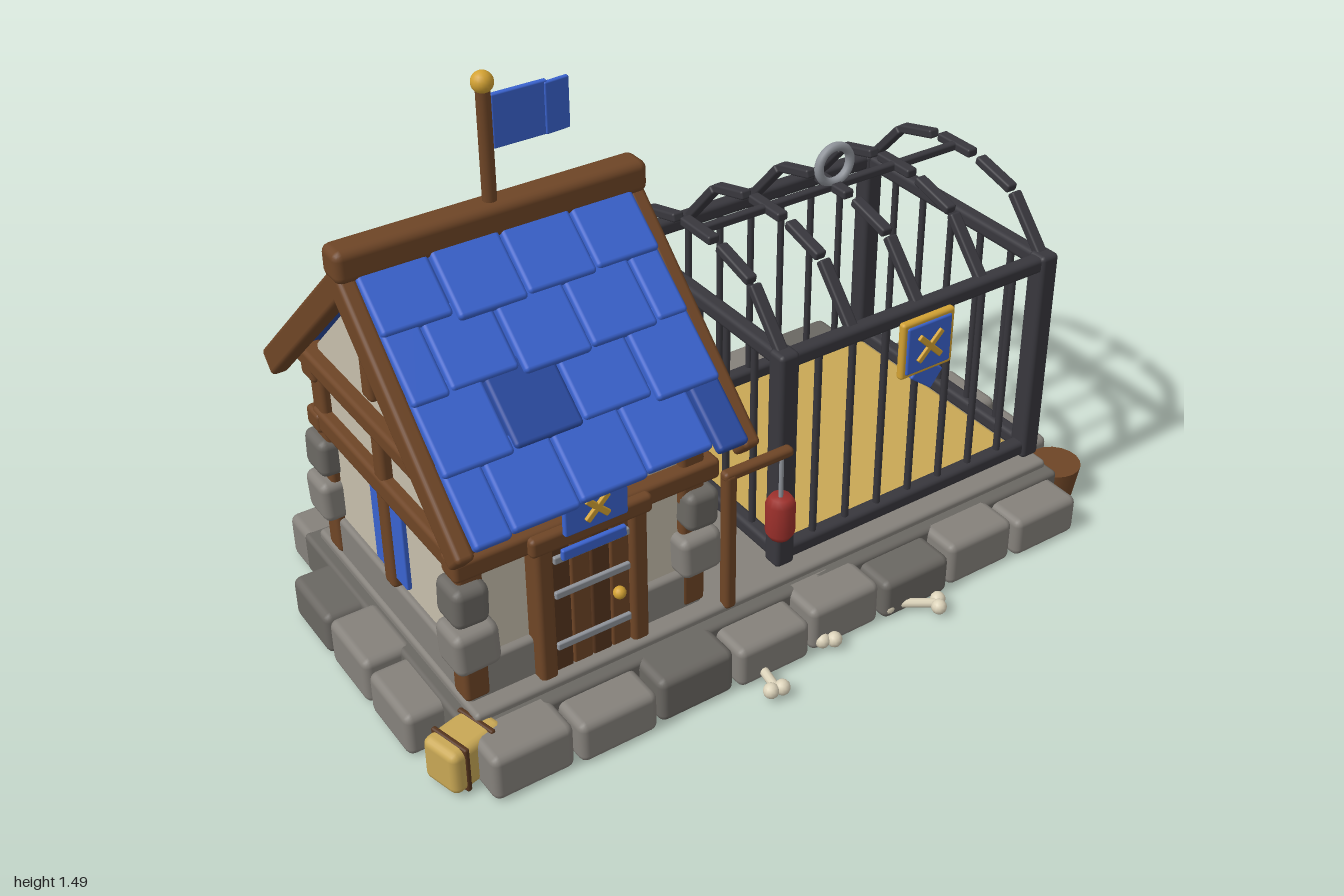
import * as THREE from 'three';
import { RoundedBoxGeometry } from 'three/addons/geometries/RoundedBoxGeometry.js';

const C = {
  wood: 0x6e4526, darkWood: 0x56351e, stone: 0x85817b, darkStone: 0x6a6762, plaster: 0xc6beac, iron: 0x38373d,
  steel: 0x8f939a, blue: 0x3a63cf, darkBlue: 0x2a4aa0, gold: 0xd3a233, hay: 0xc9a855, red: 0x9c302b, bone: 0xdcd3ba,
};
const mats = {};
const mat = (c) => (mats[c] ??= new THREE.MeshStandardMaterial({ color: C[c], side: THREE.DoubleSide }));
const MID = -0.045; // z of the ridge and of the cage centre line

function add(parent, name, geo, color, pos = [0, 0, 0], rot = [0, 0, 0]) {
  const m = new THREE.Mesh(geo, mat(color));
  m.name = name;
  m.position.set(...pos);
  m.rotation.set(...rot);
  parent.add(m);
  return m;
}
function box(parent, name, color, size, pos, rot, r = 0.012) {
  const radius = Math.min(r, Math.min(...size) * 0.4);
  return add(parent, name, new RoundedBoxGeometry(...size, 2, radius), color, pos, rot);
}
// Box given by its two opposite corners
function span(parent, name, color, a, b, r) {
  return box(parent, name, color, a.map((v, i) => b[i] - v), a.map((v, i) => (v + b[i]) / 2), undefined, r);
}
function rod(parent, name, color, a, b, r, sides = 10) {
  const p = new THREE.Vector3(...a), q = new THREE.Vector3(...b), d = q.clone().sub(p);
  const m = add(parent, name, new THREE.CylinderGeometry(r, r, d.length(), sides), color);
  m.position.copy(p).lerp(q, 0.5);
  m.quaternion.setFromUnitVectors(new THREE.Vector3(0, 1, 0), d.normalize());
  return m;
}
function group(parent, name) {
  const g = new THREE.Group();
  g.name = name;
  parent.add(g);
  return g;
}
// Two crossed gold bars
function cross(parent, x, y, z, len) {
  for (const s of [-1, 1]) box(parent, 'goldCross', 'gold', [len, 0.016, 0.01], [x, y, z], [0, 0, s * Math.PI / 4], 0.003);
}

function buildBase(root) {
  const g = group(root, 'stoneBase');
  span(g, 'slab', 'darkStone', [-0.9, 0.01, -0.5], [0.88, 0.125, 0.4]);
  span(g, 'platform', 'stone', [-0.87, 0.1, -0.47], [0.87, 0.145, 0.365]);
  for (let i = 0; i < 8; i++) {
    const x = -0.795 + i * 0.221, h = 0.125 + 0.012 * ((i * 3) % 3 - (i % 2));
    box(g, 'frontStone', i % 3 === 2 ? 'darkStone' : 'stone', [0.21, h, 0.14], [x, h / 2, 0.425 + 0.008 * (i % 2)], [0, 0, 0], 0.02);
    box(g, 'backStone', i % 3 === 1 ? 'darkStone' : 'stone', [0.205, h, 0.125], [x, h / 2, -0.535 - 0.008 * (i % 2)], [0, 0, 0], 0.02);
  }
  for (const s of [-1, 1]) for (let i = 0; i < 3; i++) {
    const h = 0.118 + 0.01 * (i % 2);
    box(g, 'sideStone', i === 0 ? 'darkStone' : 'stone', [0.13, h, 0.2], [s < 0 ? -0.93 : 0.915, h / 2, -0.265 + i * 0.212], [0, 0, 0], 0.02);
  }
}

function buildHouse(root) {
  const g = group(root, 'house');
  // Plastered walls with gables, extruded along x
  const s = new THREE.Shape([[0.295, 0.14], [0.295, 0.74], [MID, 1.07], [-0.385, 0.74], [-0.385, 0.14]].map((p) => new THREE.Vector2(...p)));
  const walls = new THREE.ExtrudeGeometry(s, { depth: 0.61, bevelEnabled: false });
  walls.rotateY(-Math.PI / 2);
  add(g, 'walls', walls, 'plaster', [-0.235, 0, 0]);
  span(g, 'plinth', 'stone', [-0.86, 0.13, -0.405], [-0.22, 0.25, 0.315]);

  // Corner posts, quoins and timber framing
  for (const x of [-0.835, -0.245]) for (const z of [0.285, -0.375]) {
    box(g, 'cornerPost', 'wood', [0.065, 0.55, 0.065], [x, 0.42, z]);
    const ox = x < -0.5 ? -0.012 : 0.012, oz = z > 0 ? 0.012 : -0.012;
    box(g, 'quoin', 'stone', [0.115, 0.115, 0.11], [x + ox / 2, 0.31, z + oz], [0, 0, 0.04], 0.022);
    box(g, 'quoin', 'darkStone', [0.09, 0.105, 0.105], [x + ox, 0.435, z + oz], [0, 0, -0.03], 0.022);
  }
  for (const z of [0.3, -0.39]) {
    span(g, 'wallBeam', 'wood', [-0.88, 0.505, z - 0.035], [-0.18, 0.56, z + 0.035]);
    span(g, 'eavesBeam', 'wood', [-0.88, 0.65, z - 0.035], [-0.18, 0.71, z + 0.035]);
  }
  for (const x of [-0.85, -0.23]) {
    span(g, 'sideBeam', 'wood', [x - 0.025, 0.51, -0.4], [x + 0.025, 0.568, 0.31]);
    span(g, 'tieBeam', 'wood', [x - 0.03, 0.675, -0.45], [x + 0.03, 0.725, 0.36]);
    span(g, 'sidePost', 'wood', [x - 0.022, 0.25, MID - 0.025], [x + 0.022, 0.69, MID + 0.025]);
    span(g, 'kingPost', 'wood', [x - 0.03, 0.78, MID - 0.025], [x + 0.03, 1.1, MID + 0.025]);
  }
  span(g, 'sideBanner', 'blue', [-0.862, 0.28, MID - 0.08], [-0.848, 0.51, MID + 0.08], 0.004);

  // Door
  const d = group(g, 'door');
  for (let i = 0; i < 4; i++) span(d, 'doorPlank', i % 2 ? 'wood' : 'darkWood', [-0.645 + i * 0.0525, 0.14, 0.3], [-0.594 + i * 0.0525, 0.5, 0.335], 0.006);
  for (const x of [-0.665, -0.415]) box(d, 'doorJamb', 'wood', [0.045, 0.4, 0.07], [x, 0.33, 0.315]);
  box(d, 'lintel', 'wood', [0.32, 0.05, 0.08], [-0.54, 0.53, 0.315]);
  for (const y of [0.22, 0.37, 0.47]) box(d, 'doorStrap', 'steel', [0.2, 0.02, 0.012], [-0.54, y, 0.34], undefined, 0.004);
  add(d, 'doorKnob', new THREE.SphereGeometry(0.016, 14, 10), 'gold', [-0.475, 0.31, 0.35]);

  // Banner over the door
  const b = group(g, 'doorBanner');
  box(b, 'bannerCloth', 'blue', [0.165, 0.11, 0.016], [-0.54, 0.6, 0.362], undefined, 0.005);
  box(b, 'bannerHem', 'blue', [0.17, 0.03, 0.014], [-0.54, 0.487, 0.352], undefined, 0.005);
  cross(b, -0.54, 0.6, 0.374, 0.08);
}

function buildRoof(root) {
  const g = group(root, 'roof'), cx = -0.54, slope = 0.755;
  for (const side of [0, 1]) {
    const turn = group(g, side ? 'backRoof' : 'frontRoof');
    turn.position.set(cx, 1.125, MID);
    turn.rotation.y = side * Math.PI;
    const half = group(turn, 'roofSlope');
    half.rotation.x = slope;
    box(half, 'roofBoard', 'darkBlue', [0.68, 0.02, 0.62], [0, -0.022, 0.32]);
    // Barge boards at both gable ends
    for (const x of [-0.365, 0.365]) box(half, 'bargeBoard', 'wood', [0.045, 0.07, 0.69], [x, -0.025, 0.335]);
    // Staggered tile rows, half tiles closing the odd rows
    for (let r = 0; r < 4; r++) {
      const cuts = r % 2 ? [-0.35, -0.255, -0.085, 0.09, 0.265, 0.35] : [-0.35, -0.175, 0, 0.18, 0.35];
      for (let i = 0; i < cuts.length - 1; i++) {
        const k = (i * 7 + r * 5 + side * 3) % 4, len = 0.19 + 0.006 * k;
        box(half, 'roofTile', (i * 5 + r * 3 + side) % 9 === 2 ? 'darkBlue' : 'blue', [cuts[i + 1] - cuts[i] - 0.005, 0.03, len],
          [(cuts[i] + cuts[i + 1]) / 2, 0.008 + 0.002 * k, r * 0.158 + len / 2 - 0.012], [-0.075, 0, 0], 0.01);
      }
    }
  }
  box(g, 'ridgeBeam', 'wood', [0.785, 0.08, 0.08], [cx, 1.142, MID], undefined, 0.02);
  // Flagpole
  rod(g, 'flagPole', 'wood', [cx, 1.15, MID], [cx, 1.45, MID], 0.017);
  add(g, 'poleBall', new THREE.SphereGeometry(0.026, 18, 12), 'gold', [cx, 1.465, MID]);
  box(g, 'flag', 'blue', [0.14, 0.13, 0.014], [-0.455, 1.368, MID], undefined, 0.004);
  box(g, 'flagEnd', 'blue', [0.065, 0.126, 0.012], [-0.362, 1.366, MID + 0.002], [0, 0.08, 0], 0.004);
}

function buildCage(root) {
  const g = group(root, 'cage'), x0 = 0.02, x1 = 0.84, z0 = -0.395, z1 = 0.305, lo = 0.18, hi = 0.745;
  span(g, 'strawFloor', 'hay', [0.03, 0.13, -0.39], [0.83, 0.16, 0.3]);
  for (const x of [x0, x1]) {
    for (const z of [z0, z1]) box(g, 'cagePost', 'iron', [0.056, 0.62, 0.056], [x, 0.46, z]);
    for (const y of [lo, hi]) box(g, 'sideRail', 'iron', [0.042, 0.042, z1 - z0], [x, y, MID]);
    for (let i = 1; i < 6; i++) rod(g, 'sideBar', 'iron', [x, lo, z0 + i * 0.1167], [x, hi, z0 + i * 0.1167], 0.0095, 8);
  }
  for (const z of [z0, z1]) {
    for (const y of [lo, hi]) box(g, 'longRail', 'iron', [x1 - x0, 0.042, 0.042], [(x0 + x1) / 2, y, z]);
    for (let i = 1; i < 8; i++) rod(g, 'cageBar', 'iron', [x0 + i * 0.1025, lo, z], [x0 + i * 0.1025, hi, z], 0.0095, 8);
  }
  // Arched roof ribs made of short straight bars
  const seg = [[0.342, 0.755, 0.226, 0.885], [0.214, 0.894, 0.092, 0.926], [0.06, 0.931, -0.06, 0.931]];
  for (let i = 0; i < 5; i++) {
    const x = x0 + i * 0.205;
    for (const s of [1, -1]) for (const [a, ya, b, yb] of s > 0 ? seg : seg.slice(0, 2)) {
      const dz = s * (b - a), dy = yb - ya;
      box(g, 'roofRib', 'iron', [0.032, 0.024, Math.hypot(dz, dy) + 0.006], [x, (ya + yb) / 2, MID + s * (a + b) / 2], [-Math.atan2(dy, dz), 0, 0], 0.006);
    }
  }
  box(g, 'ridgeBar', 'iron', [0.85, 0.022, 0.022], [0.43, 0.931, MID], undefined, 0.006);
  add(g, 'liftingRing', new THREE.TorusGeometry(0.049, 0.012, 10, 28), 'steel', [0.43, 0.99, MID]);

  // Shield plate with cloth tail
  const p = group(g, 'shieldPlate');
  box(p, 'plateFrame', 'gold', [0.165, 0.16, 0.022], [0.43, 0.662, 0.336]);
  box(p, 'platePanel', 'blue', [0.14, 0.135, 0.02], [0.43, 0.662, 0.342], undefined, 0.006);
  cross(p, 0.43, 0.662, 0.354, 0.1);
  box(p, 'plateTail', 'blue', [0.085, 0.06, 0.014], [0.435, 0.573, 0.338], [0, 0, -0.65], 0.005);
}

function buildProps(root) {
  // Lantern post
  const l = group(root, 'lanternPost');
  box(l, 'post', 'wood', [0.034, 0.4, 0.034], [-0.172, 0.33, 0.355]);
  box(l, 'arm', 'wood', [0.2, 0.026, 0.03], [-0.09, 0.522, 0.355]);
  rod(l, 'chain', 'steel', [-0.022, 0.39, 0.36], [-0.022, 0.52, 0.36], 0.006);
  const prof = [[0, 0.28], [0.026, 0.28], [0.037, 0.298], [0.037, 0.382], [0.026, 0.4], [0, 0.4]];
  add(l, 'lantern', new THREE.LatheGeometry(prof.map((p) => new THREE.Vector2(...p)), 14), 'red', [-0.022, 0, 0.36]);
  // Bucket
  add(root, 'bucket', new THREE.CylinderGeometry(0.072, 0.056, 0.1, 18), 'wood', [0.928, 0.05, 0.34]);
  // Hay bale with two straps
  const h = group(root, 'hayBale');
  h.position.set(-0.905, 0.068, 0.365);
  h.rotation.y = 0.25;
  box(h, 'hay', 'hay', [0.16, 0.12, 0.11], [0, 0, 0], undefined, 0.02);
  for (const x of [-0.04, 0.04]) box(h, 'strap', 'darkWood', [0.014, 0.126, 0.116], [x, 0, 0], undefined, 0.02);
  // Bones
  for (const [x, z, angle, len] of [[-0.17, 0.515, 1.4, 0.11], [0.29, 0.51, -0.6, 0.13], [0.05, 0.46, 1.1, 0.09]]) {
    const b = group(root, 'bone');
    b.position.set(x, 0.026, z);
    b.rotation.y = angle;
    rod(b, 'shaft', 'bone', [-len / 2, 0, 0], [len / 2, 0, 0], 0.012);
    for (const s of [-1, 1]) for (const t of [-1, 1])
      add(b, 'knuckle', new THREE.SphereGeometry(0.02, 12, 8), 'bone', [s * len / 2, 0, t * 0.015]);
  }
}

export function createModel() {
  const root = new THREE.Group();
  root.name = 'guardHouseWithCage';
  buildBase(root);
  buildHouse(root);
  buildRoof(root);
  buildCage(root);
  buildProps(root);
  return root;
}
